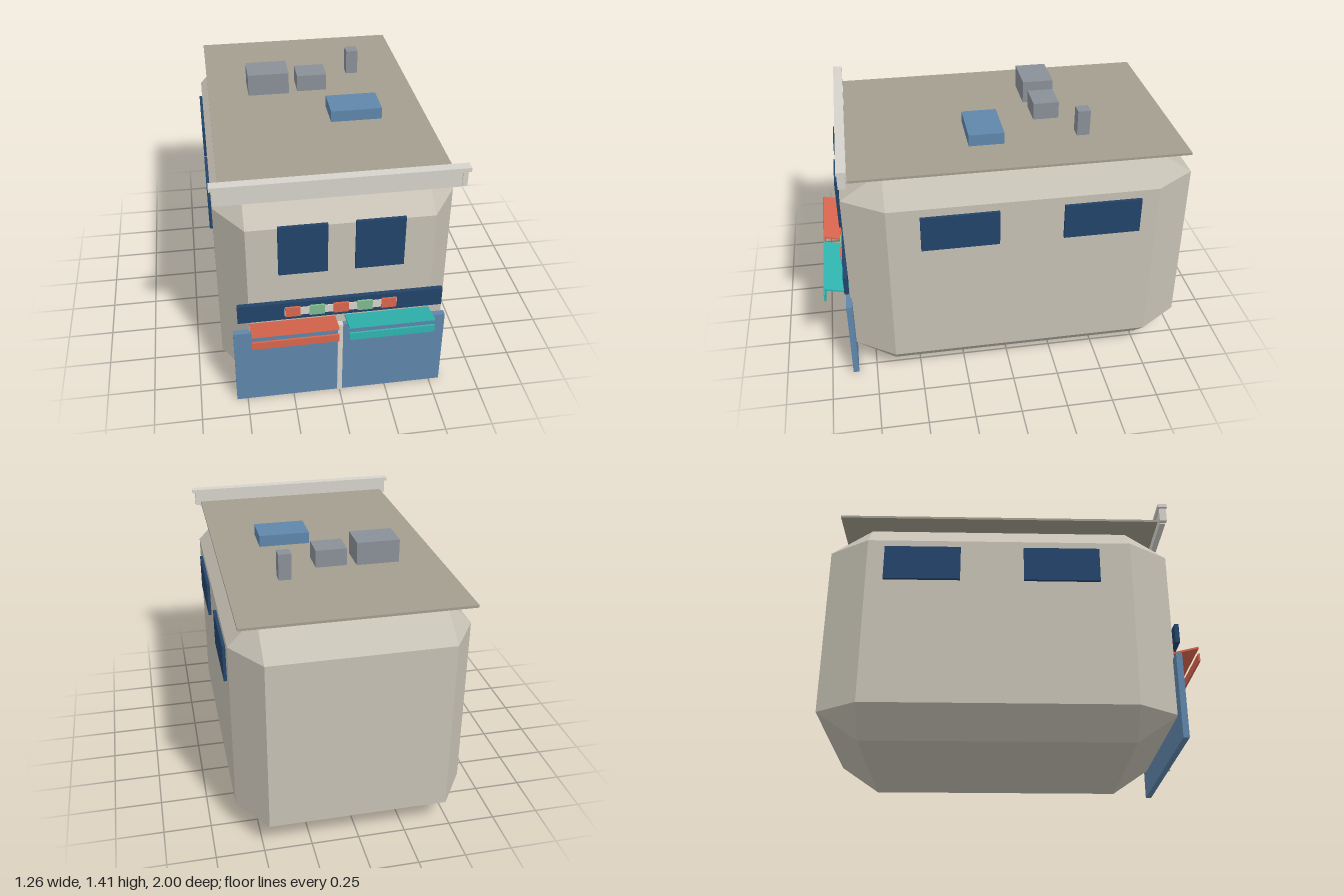
import * as THREE from 'three';
import { ConvexGeometry } from 'three/addons/geometries/ConvexGeometry.js';

const mat = (color) => new THREE.MeshStandardMaterial({ color });

export function createModel() {
  const model = new THREE.Group();
  const wall = mat(0xc6c1b4), roofing = mat(0xa39e8e), trim = mat(0xd6d3cb);
  const navy = mat(0x23446a), blue = mat(0x5f86ab), grey = mat(0x8a9097);
  const coral = mat(0xd9664d), teal = mat(0x2fb5b0), green = mat(0x7fba90);

  // Box given by its extents on each axis
  const box = (name, material, [x0, x1], [y0, y1], [z0, z1]) => {
    const mesh = new THREE.Mesh(new THREE.BoxGeometry(x1 - x0, y1 - y0, z1 - z0), material);
    mesh.position.set((x0 + x1) / 2, (y0 + y1) / 2, (z0 + z1) / 2);
    mesh.name = name;
    model.add(mesh);
    return mesh;
  };

  // Building body: a box with every edge and corner chamfered
  const half = [0.615, 0.62, 0.93], inner = [0.47, 0.47, 0.71];
  const corners = [];
  for (const sx of [-1, 1]) for (const sy of [-1, 1]) for (const sz of [-1, 1]) {
    for (let axis = 0; axis < 3; axis++) {
      const p = inner.map((v, i) => (i === axis ? half[i] : v));
      corners.push(new THREE.Vector3(sx * p[0], sy * p[1], sz * p[2]));
    }
  }
  const body = new THREE.Mesh(new ConvexGeometry(corners), wall);
  body.position.set(0, 0.62, -0.07);
  body.name = 'body';
  model.add(body);

  // Flat roof slab and front cornice
  box('roofSlab', roofing, [-0.58, 0.58], [1.257, 1.27], [-0.945, 0.81]);
  box('corniceFascia', trim, [-0.585, 0.585], [1.24, 1.325], [0.82, 0.85]);
  box('corniceCap', trim, [-0.625, 0.625], [1.325, 1.346], [0.808, 0.858]);
  for (const s of [-1, 1]) {
    box('corniceBracket', trim, [s * 0.598 - 0.013, s * 0.598 + 0.013], [1.246, 1.325], [0.816, 0.855]);
  }

  // Rooftop equipment
  box('airUnitLarge', grey, [-0.355, -0.125], [1.272, 1.396], [-0.365, -0.195]);
  box('airUnitSmall', grey, [-0.075, 0.092], [1.272, 1.366], [-0.352, -0.212]);
  box('roofVent', grey, [0.241, 0.308], [1.272, 1.412], [-0.472, -0.404]);
  box('skylight', blue, [0.057, 0.334], [1.272, 1.335], [-0.01, 0.178]);

  // Windows on the front and both sides
  for (const s of [-1, 1]) {
    const cx = s * 0.192;
    box('frontWindow', navy, [cx - 0.123, cx + 0.123], [0.826, 1.11], [0.868, 0.884]);
    for (const z of [0.265, -0.482]) {
      box('sideWindow', navy, [s * 0.622 - 0.009, s * 0.622 + 0.009], [0.848, 1.045], [z - 0.204, z + 0.204]);
    }
  }

  // Sign band with a pale strip and coloured tiles
  box('signBand', navy, [-0.53, 0.53], [0.539, 0.645], [0.862, 0.886]);
  box('signStrip', trim, [-0.29, 0.29], [0.566, 0.612], [0.884, 0.891]);
  for (let i = -2; i <= 2; i++) {
    const x = i * 0.124;
    box('signTile', i % 2 ? green : coral, [x - 0.039, x + 0.039], [0.562, 0.62], [0.886, 0.897]);
  }

  // Shop glazing and centre post
  box('shopGlazing', blue, [-0.557, 0.557], [0, 0.465], [0.852, 0.884]);
  box('centrePost', trim, [-0.013, 0.013], [0, 0.468], [0.86, 0.892]);

  // Awnings: tilted canopy with a hanging valance
  for (const [s, material] of [[-1, coral], [1, teal]]) {
    const x = [s * 0.247 - 0.222, s * 0.247 + 0.222];
    const canopy = box('awningCanopy', material, x, [0.516, 0.526], [0.857, 0.999]);
    canopy.rotation.x = -0.245;
    box('awningValance', material, x, [0.458, 0.502], [0.99, 1.0]);
  }

  return model;
}
